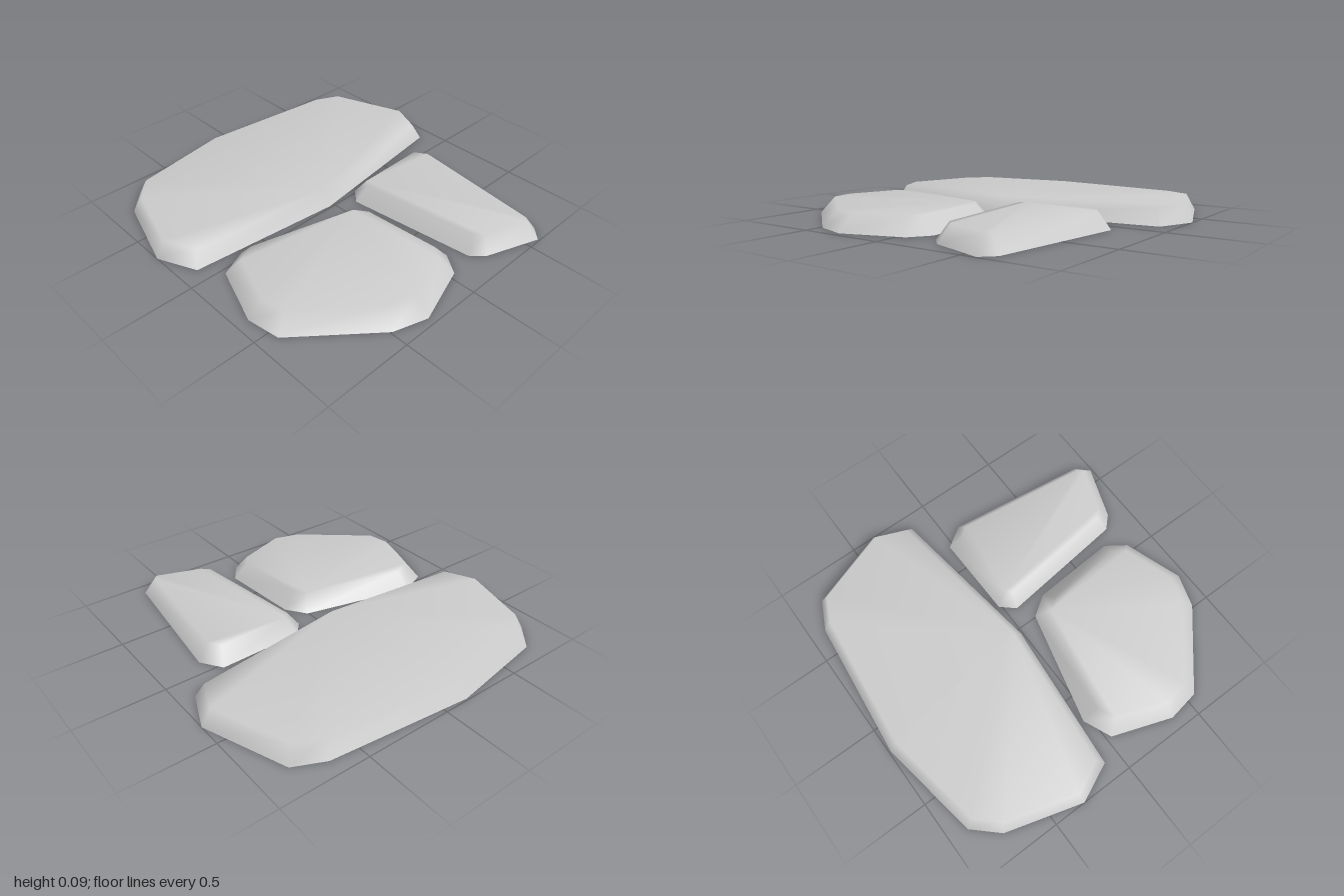
import * as THREE from 'three';

const HEIGHT = 0.093;

// Outlines as [x, z], running left, back, right, front as seen from above;
// bevel is how far the top edge sits in from the base edge.
const STONES = [
  { name: 'backStone', bevel: 0.05, apex: 8, outline: [
    [-1, -0.31], [-0.87, -0.75], [-0.74, -0.89], [-0.15, -0.99], [0.66, -0.91],
    [0.83, -0.83], [1, -0.36], [0.91, -0.14], [-0.03, -0.01], [-0.9, -0.09]] },
  { name: 'frontRightStone', bevel: 0.08, apex: 3, outline: [
    [-0.93, 0.37], [-0.81, 0.03], [-0.65, -0.04], [0.005, 0.12], [0.085, 0.235],
    [0.12, 0.73], [0.04, 0.845], [-0.3, 0.96], [-0.49, 0.9], [-0.9, 0.555]] },
  { name: 'frontLeftStone', bevel: 0.065, apex: 1, outline: [
    [0.11, 0.065], [0.18, -0.015], [0.67, -0.025], [0.75, 0.095],
    [0.65, 0.92], [0.58, 0.99], [0.27, 0.88], [0.2, 0.81]] },
];

// Moves every edge of a convex outline inwards by d
function inset(points, d) {
  const n = points.length;
  const normal = (a, b) => new THREE.Vector2(a[1] - b[1], b[0] - a[0]).normalize();
  return points.map((p, i) => {
    const n1 = normal(points[(i + n - 1) % n], p);
    const n2 = normal(p, points[(i + 1) % n]);
    const k = d / (1 + n1.dot(n2));
    return [p[0] + (n1.x + n2.x) * k, p[1] + (n1.y + n2.y) * k];
  });
}

// Smooth shell: sloping sides and a flat top, open underneath
function stoneGeometry({ outline, bevel, apex }) {
  const n = outline.length;
  const top = inset(outline, bevel);
  const positions = [
    ...outline.flatMap(([x, z]) => [x, 0, z]),
    ...top.flatMap(([x, z]) => [x, HEIGHT, z]),
  ];
  const index = [];
  for (let i = 0; i < n; i++) {
    const j = (i + 1) % n;
    index.push(i, n + i, j, j, n + i, n + j);
  }
  for (let i = 1; i < n - 1; i++) {
    index.push(n + apex, n + (apex + i + 1) % n, n + (apex + i) % n);
  }
  const geometry = new THREE.BufferGeometry();
  geometry.setAttribute('position', new THREE.Float32BufferAttribute(positions, 3));
  geometry.setIndex(index);
  geometry.computeVertexNormals();
  return geometry;
}

export function createModel() {
  const group = new THREE.Group();
  group.name = 'pavingStones';
  const stone = new THREE.MeshStandardMaterial({ color: 0xcccccc, side: THREE.DoubleSide });
  stone.name = 'stoneGrey';
  for (const spec of STONES) {
    const mesh = new THREE.Mesh(stoneGeometry(spec), stone);
    mesh.name = spec.name;
    group.add(mesh);
  }
  return group;
}
